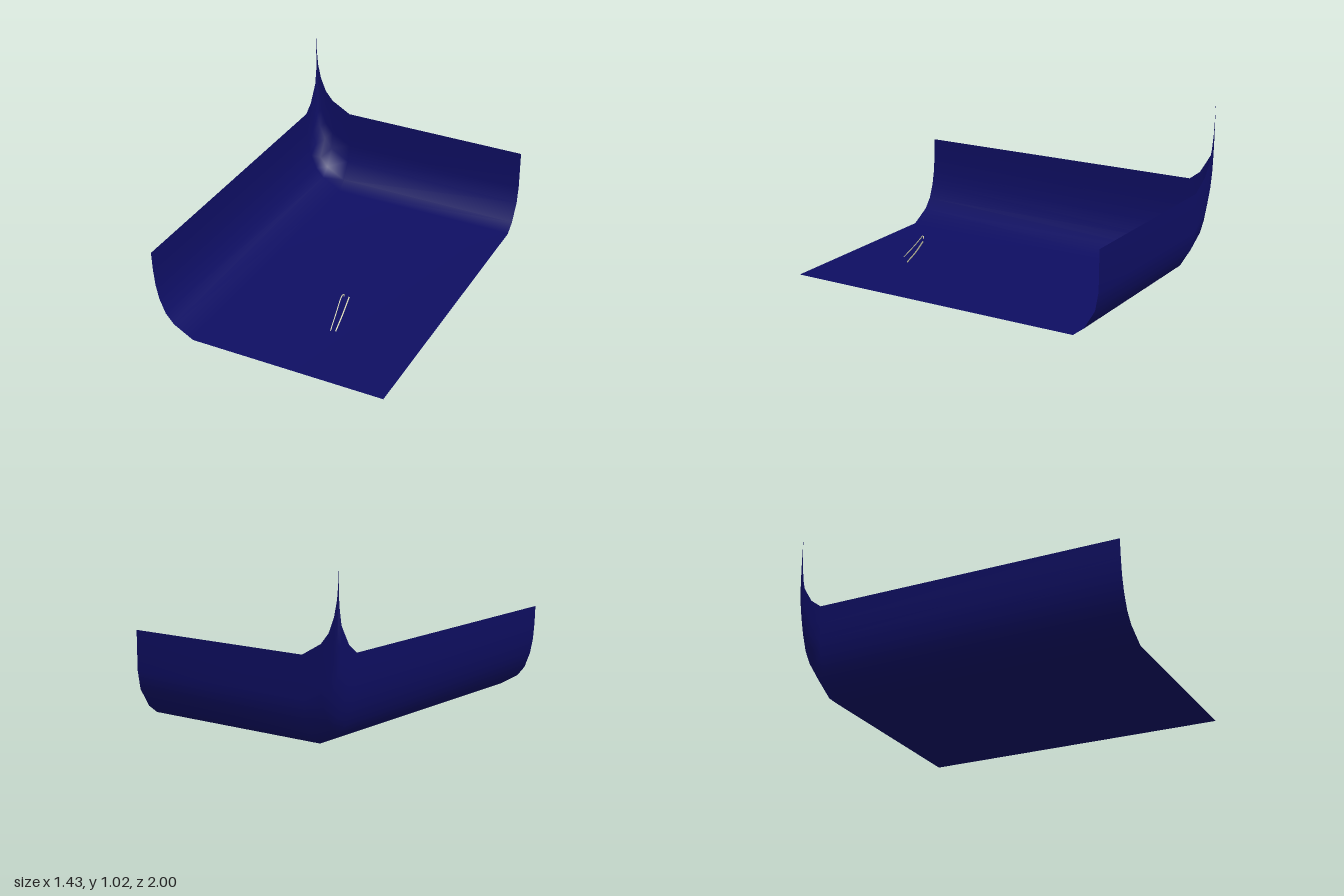
import * as THREE from 'three';

const navy = new THREE.MeshStandardMaterial({ color: 0x0e0e62, side: THREE.DoubleSide });
navy.name = 'navy sheet';
const cream = new THREE.MeshStandardMaterial({ color: 0xdcdab4 });
cream.name = 'pale cream';

// Side sweep as [x, rise] and back sweep as [z, rise]
const sideProfile = [
  [-0.718, 0.52], [-0.714, 0.41], [-0.705, 0.31], [-0.686, 0.22],
  [-0.65, 0.13], [-0.6, 0.07], [-0.477, 0], [0.717, 0],
];
const backProfile = [
  [-1, 0.505], [-0.999, 0.27], [-0.98, 0.16], [-0.915, 0.05], [-0.85, 0], [1, 0],
];

// Sheet whose height is the sum of the two sweeps, so the corner rises to a peak
function sweptSheet(across, along) {
  const positions = [], index = [];
  const n = across.length;
  along.forEach(([z, backRise]) => {
    across.forEach(([x, sideRise]) => positions.push(x, sideRise + backRise, z));
  });
  for (let j = 0; j < along.length - 1; j++) {
    for (let i = 0; i < n - 1; i++) {
      const a = j * n + i, b = a + 1, c = a + n, d = c + 1;
      index.push(a, c, b, b, c, d);
    }
  }
  const geometry = new THREE.BufferGeometry();
  geometry.setAttribute('position', new THREE.Float32BufferAttribute(positions, 3));
  geometry.setIndex(index);
  geometry.computeVertexNormals();
  return geometry;
}

// Thin wire through a few points
function wire(name, points, radius) {
  const curve = new THREE.CatmullRomCurve3(points.map((p) => new THREE.Vector3(...p)));
  const mesh = new THREE.Mesh(new THREE.TubeGeometry(curve, 16, radius, 6), cream);
  mesh.name = name;
  return mesh;
}

export function createModel() {
  const model = new THREE.Group();
  model.name = 'curvedBackdrop';

  const sheet = new THREE.Mesh(sweptSheet(sideProfile, backProfile), navy);
  sheet.name = 'curvedSheet';
  model.add(sheet);

  // Pair of fine leaning wires, the outer one hooked at its top
  const wires = new THREE.Group();
  wires.name = 'leaningWires';
  wires.add(
    wire('outerWire', [[0.2, 0.03, 0.61], [0.2, 0.105, 0.54], [0.202, 0.18, 0.475],
      [0.208, 0.195, 0.46], [0.21, 0.175, 0.455]], 0.003),
    wire('innerWire', [[0.215, 0.008, 0.575], [0.225, 0.085, 0.505], [0.235, 0.17, 0.44]], 0.004),
  );
  model.add(wires);
  return model;
}
